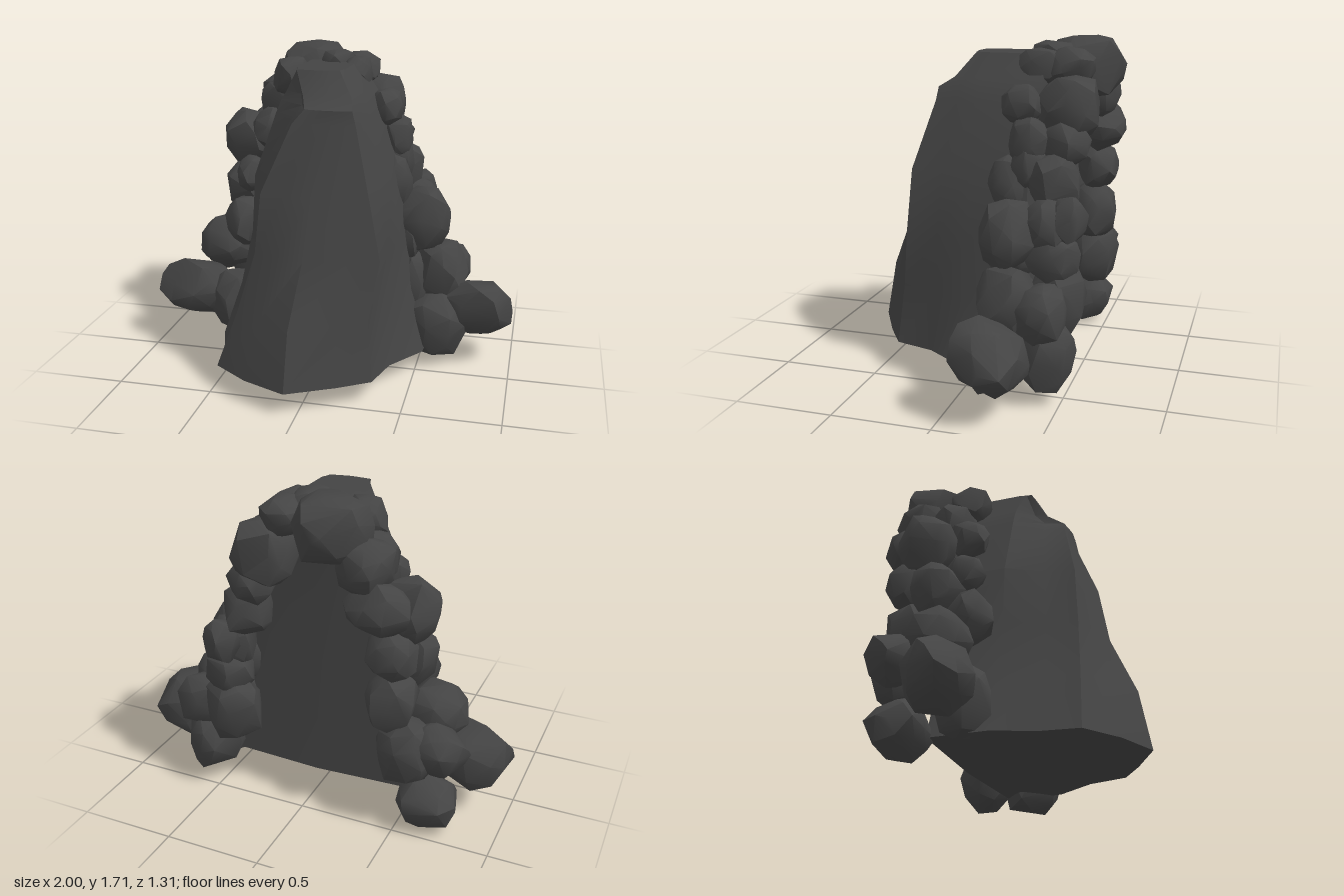
import * as THREE from 'three';
import { toCreasedNormals } from 'three/addons/utils/BufferGeometryUtils.js';
import { ConvexGeometry } from 'three/addons/geometries/ConvexGeometry.js';

const stone = new THREE.MeshStandardMaterial({ color: 0x444444 });
stone.name = 'dark stone';

// Small seeded generator for repeatable boulder shapes
function seeded(seed) {
  let s = seed * 7919 + 17;
  return () => {
    s = (s * 16807) % 2147483647;
    return s / 2147483647;
  };
}

// Crag levels: y, front x/z, left crease x/z, right crease x/z, left side x, right side x, back z
const levels = [
  [0.12, -0.06, 0.66, -0.48, 0.43, 0.34, 0.43, -0.58, 0.54, -0.28],
  [0.43, -0.05, 0.60, -0.37, 0.40, 0.31, 0.40, -0.47, 0.45, -0.28],
  [0.74, -0.01, 0.46, -0.28, 0.37, 0.36, 0.36, -0.40, 0.41, -0.28],
  [1.05, 0.02, 0.40, -0.25, 0.35, 0.30, 0.35, -0.38, 0.36, -0.28],
  [1.39, 0.05, 0.26, -0.11, 0.26, 0.21, 0.25, -0.26, 0.25, -0.29],
  [1.46, 0.07, 0.255, -0.05, 0.24, 0.19, 0.24, -0.23, 0.22, -0.30],
  [1.51, 0.05, 0.16, -0.08, 0.15, 0.17, 0.16, -0.20, 0.19, -0.30],
  [1.63, -0.02, 0.09, -0.13, 0.08, 0.09, 0.07, -0.14, 0.11, -0.30],
];

const mix = THREE.MathUtils.lerp;

// Outline of one level, running from back left past the front to back right
function outline([y, fx, fz, lx, lz, rx, rz, sl, sr, bz]) {
  return [
    [sl, bz], [sl, 0.02],
    [mix(lx, sl, 0.2), mix(lz, 0.02, 0.45)], [lx, lz],
    [mix(lx, fx, 0.45), mix(lz, fz, 0.58)], [fx, fz],
    [mix(rx, fx, 0.4), mix(rz, fz, 0.45)], [rx, rz],
    [mix(rx, sr, 0.28), mix(rz, 0.02, 0.5)], [sr, 0.02],
    [sr * 1.05, bz], [0, bz - 0.03],
  ].map(([x, z]) => [x, y, z]);
}

function makeCrag() {
  const rings = levels.map(outline);
  const n = rings[0].length;
  const positions = [];
  const tri = (a, b, c) => positions.push(...a, ...b, ...c);
  for (let k = 0; k < rings.length - 1; k++) {
    for (let i = 0; i < n; i++) {
      const j = (i + 1) % n;
      const [a, b, c, d] = [rings[k][i], rings[k][j], rings[k + 1][j], rings[k + 1][i]];
      tri(a, b, c);
      tri(a, c, d);
    }
  }
  // Flat underside and flat summit
  const bottom = rings[0], top = rings[rings.length - 1];
  for (let i = 0; i < n; i++) {
    const j = (i + 1) % n;
    tri([0, bottom[0][1], 0], bottom[j], bottom[i]);
    tri([0, top[0][1], -0.1], top[i], top[j]);
  }
  const geo = new THREE.BufferGeometry();
  geo.setAttribute('position', new THREE.Float32BufferAttribute(positions, 3));
  return toCreasedNormals(geo, 0.6);
}

// Blocky, rounded convex rock filling the given half sizes exactly
function makeBoulder(rx, ry, rz, seed) {
  const rand = seeded(seed);
  const turn = new THREE.Euler((rand() - 0.5) * 0.9, rand() * 3, (rand() - 0.5) * 0.9);
  const points = [];
  const count = 30;
  const power = 2.8;
  for (let i = 0; i < count; i++) {
    const h = 1 - (2 * (i + 0.5)) / count;
    const a = i * 2.39996 + (rand() - 0.5) * 0.7;
    const w = Math.sqrt(1 - h * h);
    const p = new THREE.Vector3(w * Math.cos(a), h, w * Math.sin(a));
    const norm = Math.abs(p.x) ** power + Math.abs(p.y) ** power + Math.abs(p.z) ** power;
    p.multiplyScalar((0.93 + rand() * 0.14) / norm ** (1 / power));
    points.push(p.applyEuler(turn));
  }
  const box = new THREE.Box3().setFromPoints(points);
  const mid = box.getCenter(new THREE.Vector3());
  const size = box.getSize(new THREE.Vector3());
  for (const p of points) {
    p.sub(mid).divide(size).multiply(new THREE.Vector3(rx * 2, ry * 2, rz * 2));
  }
  return toCreasedNormals(new ConvexGeometry(points), 0.75);
}

// Boulders: centre x, y, z, half sizes x, y, z and an optional tilt about x
const rightPile = [
  [-0.77, 0.32, -0.13, 0.23, 0.17, 0.16],
  [-0.64, 0.15, -0.38, 0.16, 0.15, 0.14],
  [-0.56, 0.28, -0.11, 0.14, 0.18, 0.14],
  [-0.62, 0.58, -0.22, 0.17, 0.15, 0.16],
  [-0.69, 0.47, -0.42, 0.16, 0.14, 0.12],
  [-0.54, 0.46, -0.43, 0.17, 0.18, 0.15],
  [-0.48, 0.74, -0.12, 0.12, 0.14, 0.13],
  [-0.51, 0.91, -0.28, 0.13, 0.15, 0.13],
  [-0.46, 0.72, -0.44, 0.13, 0.16, 0.13],
  [-0.45, 1.01, -0.15, 0.08, 0.10, 0.10],
  [-0.52, 1.17, -0.35, 0.14, 0.16, 0.14],
  [-0.46, 0.97, -0.45, 0.12, 0.13, 0.12],
  [-0.36, 1.27, -0.19, 0.09, 0.11, 0.11],
  [-0.40, 1.21, -0.48, 0.17, 0.14, 0.14],
];
const leftPile = [
  [0.80, 0.31, -0.21, 0.20, 0.15, 0.20, -0.7],
  [0.59, 0.23, -0.16, 0.17, 0.19, 0.17],
  [0.59, 0.50, -0.25, 0.16, 0.17, 0.15],
  [0.55, 0.25, -0.41, 0.15, 0.18, 0.15],
  [0.60, 0.47, -0.40, 0.15, 0.14, 0.13],
  [0.41, 0.49, -0.44, 0.16, 0.18, 0.14],
  [0.43, 0.69, -0.42, 0.13, 0.13, 0.13],
  [0.50, 0.81, -0.21, 0.14, 0.17, 0.14],
  [0.43, 0.84, -0.39, 0.13, 0.14, 0.13],
  [0.43, 0.88, -0.50, 0.10, 0.12, 0.09],
  [0.35, 1.01, -0.17, 0.09, 0.15, 0.11],
  [0.34, 1.04, -0.40, 0.13, 0.14, 0.13],
  [0.33, 1.23, -0.27, 0.09, 0.12, 0.10],
  [0.28, 1.22, -0.43, 0.12, 0.12, 0.13],
  [0.28, 1.40, -0.22, 0.09, 0.10, 0.10],
  [0.45, 0.45, -0.22, 0.11, 0.17, 0.14],
  [0.41, 0.70, -0.22, 0.11, 0.14, 0.13],
  [0.34, 1.11, -0.28, 0.09, 0.12, 0.10],
];
const crown = [
  [-0.16, 1.55, -0.45, 0.19, 0.16, 0.20],
  [0.11, 1.57, -0.27, 0.08, 0.09, 0.13],
  [0.10, 1.57, -0.42, 0.11, 0.10, 0.12],
  [0.20, 1.38, -0.44, 0.15, 0.16, 0.15],
  [-0.24, 1.54, -0.24, 0.11, 0.11, 0.12],
  [-0.29, 1.39, -0.32, 0.14, 0.14, 0.14],
  [-0.33, 1.40, -0.46, 0.13, 0.14, 0.13],
  [0.00, 1.60, -0.32, 0.10, 0.09, 0.12],
];

export function createModel() {
  const model = new THREE.Group();
  model.name = 'rockyCrag';

  const crag = new THREE.Mesh(makeCrag(), stone);
  crag.name = 'crag';
  model.add(crag);

  // Arch of boulders around the back edge
  const piles = { rightBoulders: rightPile, leftBoulders: leftPile, crownBoulders: crown };
  let seed = 1;
  for (const [name, list] of Object.entries(piles)) {
    const pile = new THREE.Group();
    pile.name = name;
    for (const [x, y, z, rx, ry, rz, tilt = 0] of list) {
      const boulder = new THREE.Mesh(makeBoulder(rx, ry, rz, seed++), stone);
      boulder.name = 'boulder';
      boulder.position.set(x, y, z);
      boulder.rotation.x = tilt;
      pile.add(boulder);
    }
    model.add(pile);
  }
  return model;
}
